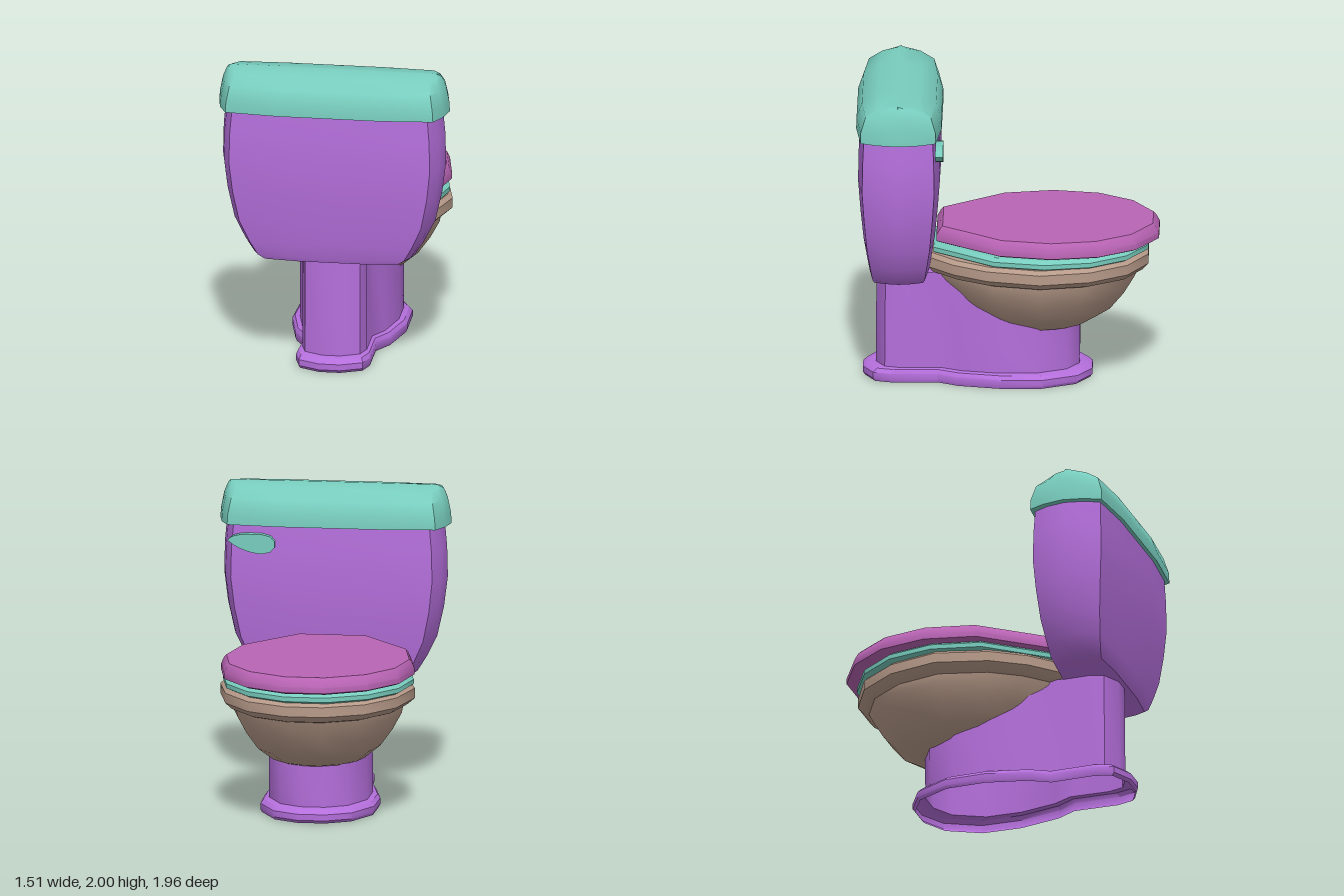
import * as THREE from 'three';
import { toCreasedNormals } from 'three/addons/utils/BufferGeometryUtils.js';

const material = (color, side = THREE.FrontSide) => new THREE.MeshStandardMaterial({ color, side });

// Completes a half outline of [x, z] points, running from -z to +z, by mirroring it in x.
const mirrored = half => [
  ...half,
  ...half.filter(p => p[0] > 0).reverse().map(([x, z]) => [-x, z]),
];

// Skins rings [y, scaleX, scaleZ, centreZ] of one outline; y may be a function of z.
function loft(outline, rings, { capStart = true, capEnd = true, crease = 0.6 } = {}) {
  const n = outline.length, pos = [], index = [];
  for (const [y, sx, sz, cz] of rings) {
    for (const [px, pz] of outline) {
      const z = cz + pz * sz;
      pos.push(px * sx, typeof y === 'function' ? y(z) : y, z);
    }
  }
  for (let i = 0; i < rings.length - 1; i++) {
    for (let j = 0; j < n; j++) {
      const a = i * n + j, b = i * n + (j + 1) % n;
      index.push(a, a + n, b + n, a, b + n, b);
    }
  }
  const cap = (ring, up) => {
    const start = ring * n, centre = pos.length / 3;
    const sum = [0, 0, 0];
    for (let k = 0; k < n * 3; k++) sum[k % 3] += pos[start * 3 + k] / n;
    pos.push(...sum);
    for (let j = 0; j < n; j++) {
      const a = start + j, b = start + (j + 1) % n;
      index.push(centre, up ? b : a, up ? a : b);
    }
  };
  if (capStart) cap(0, false);
  if (capEnd) cap(rings.length - 1, true);
  const geometry = new THREE.BufferGeometry();
  geometry.setAttribute('position', new THREE.Float32BufferAttribute(pos, 3));
  geometry.setIndex(index);
  return toCreasedNormals(geometry, crease);
}

export function createModel() {
  const model = new THREE.Group();
  model.name = 'toilet';
  const purple = material(0xb56fdc), teal = material(0x78cdbe);
  const tan = material(0xb89b8a), pink = material(0xb964b4);
  const add = (name, geometry, mat) => {
    const mesh = new THREE.Mesh(geometry, mat);
    mesh.name = name;
    model.add(mesh);
    return mesh;
  };

  // Unit outlines
  const eggLid = mirrored([[0.22, -1], [0.635, -0.8], [0.905, -0.47], [1, -0.04], [0.89, 0.43], [0.36, 1]]);
  const eggBowl = mirrored([[0.2, -1], [0.6, -0.82], [0.88, -0.48], [1, -0.03], [0.86, 0.45], [0.63, 0.76], [0.33, 1]]);
  const tankOutline = mirrored([[0, -1], [0.45, -1], [0.9, -0.88], [0.965, -0.5], [1, 0],
    [0.965, 0.5], [0.9, 0.88], [0.45, 1], [0, 1]]);

  // Pedestal: hollow, wide under the bowl, narrow at the rear, with a flared foot
  const pedestalOutline = mirrored([[0.08, -0.66], [0.22, -0.58], [0.32, -0.38], [0.325, -0.14],
    [0.27, 0.11], [0.205, 0.23], [0.21, 0.5], [0.18, 0.6], [0.06, 0.66]]);
  const topY = z => THREE.MathUtils.clamp(0.48 + z * 0.62, 0.45, 0.74);
  add('pedestal', loft(pedestalOutline, [
    [0, 1.13, 1.1, 0.195], [0.02, 1.16, 1.125, 0.195], [0.06, 1.16, 1.125, 0.195],
    [0.085, 1.1, 1.08, 0.195], [0.093, 1, 1, 0.195], [topY, 1, 1, 0.19],
  ], { capStart: false }), material(0xb56fdc, THREE.DoubleSide));

  // Bowl: rounded underside, thick rim and inner basin
  add('bowl', loft(eggBowl, [
    [0.33, 0.14, 0.17, -0.2], [0.38, 0.31, 0.31, -0.21], [0.46, 0.41, 0.46, -0.2],
    [0.57, 0.49, 0.555, -0.195], [0.68, 0.55, 0.62, -0.195], [0.73, 0.56, 0.645, -0.195],
    [0.74, 0.59, 0.68, -0.195], [0.78, 0.635, 0.715, -0.195], [0.845, 0.635, 0.715, -0.195],
    [0.87, 0.605, 0.685, -0.195], [0.87, 0.43, 0.5, -0.22], [0.6, 0.35, 0.4, -0.22],
    [0.47, 0.17, 0.2, -0.22],
  ]), tan);

  // Seat ring
  const seatRing = [[0.865, 0.59, 0.665], [0.88, 0.622, 0.695], [0.91, 0.622, 0.695], [0.932, 0.59, 0.665],
    [0.932, 0.42, 0.48], [0.865, 0.42, 0.48], [0.865, 0.59, 0.665]].map(r => [...r, -0.217]);
  add('seat', loft(eggLid, seatRing, { capStart: false, capEnd: false }), teal).position.x = -0.01;

  // Seat cover
  add('seatCover', loft(eggLid, [
    [0.94, 0.6, 0.69, -0.26], [0.953, 0.632, 0.72, -0.26], [0.99, 0.632, 0.72, -0.26],
    [1.035, 0.612, 0.695, -0.26], [1.05, 0.597, 0.68, -0.26],
  ]), pink).position.x = -0.012;

  // Tank
  add('tank', loft(tankOutline, [
    [0.735, 0.48, 0.18, 0.7], [0.765, 0.53, 0.192, 0.7], [0.86, 0.59, 0.208, 0.7], [1, 0.66, 0.23, 0.7],
    [1.2, 0.705, 0.25, 0.7], [1.4, 0.73, 0.265, 0.7], [1.6, 0.725, 0.261, 0.7], [1.76, 0.71, 0.253, 0.7],
  ]), purple);

  // Tank lid with an arched top
  add('tankLid', loft(tankOutline, [
    [1.75, 0.755, 0.277, 0.7], [1.82, 0.75, 0.275, 0.7], [1.92, 0.73, 0.24, 0.7],
    [1.98, 0.705, 0.14, 0.7], [2, 0.69, 0.01, 0.7],
  ], { crease: 0.8 }), teal);

  // Flush lever: a teardrop plate on the tank
  const leverShape = new THREE.Shape();
  leverShape.moveTo(0.67, 1.655);
  leverShape.quadraticCurveTo(0.66, 1.69, 0.56, 1.7);
  leverShape.lineTo(0.45, 1.7);
  leverShape.bezierCurveTo(0.33, 1.7, 0.33, 1.57, 0.45, 1.57);
  leverShape.quadraticCurveTo(0.58, 1.58, 0.67, 1.655);
  const lever = new THREE.ExtrudeGeometry(leverShape, { depth: 0.05, bevelEnabled: false, curveSegments: 5 });
  add('flushLever', toCreasedNormals(lever, 0.7), teal).position.z = 0.41;

  return model;
}
